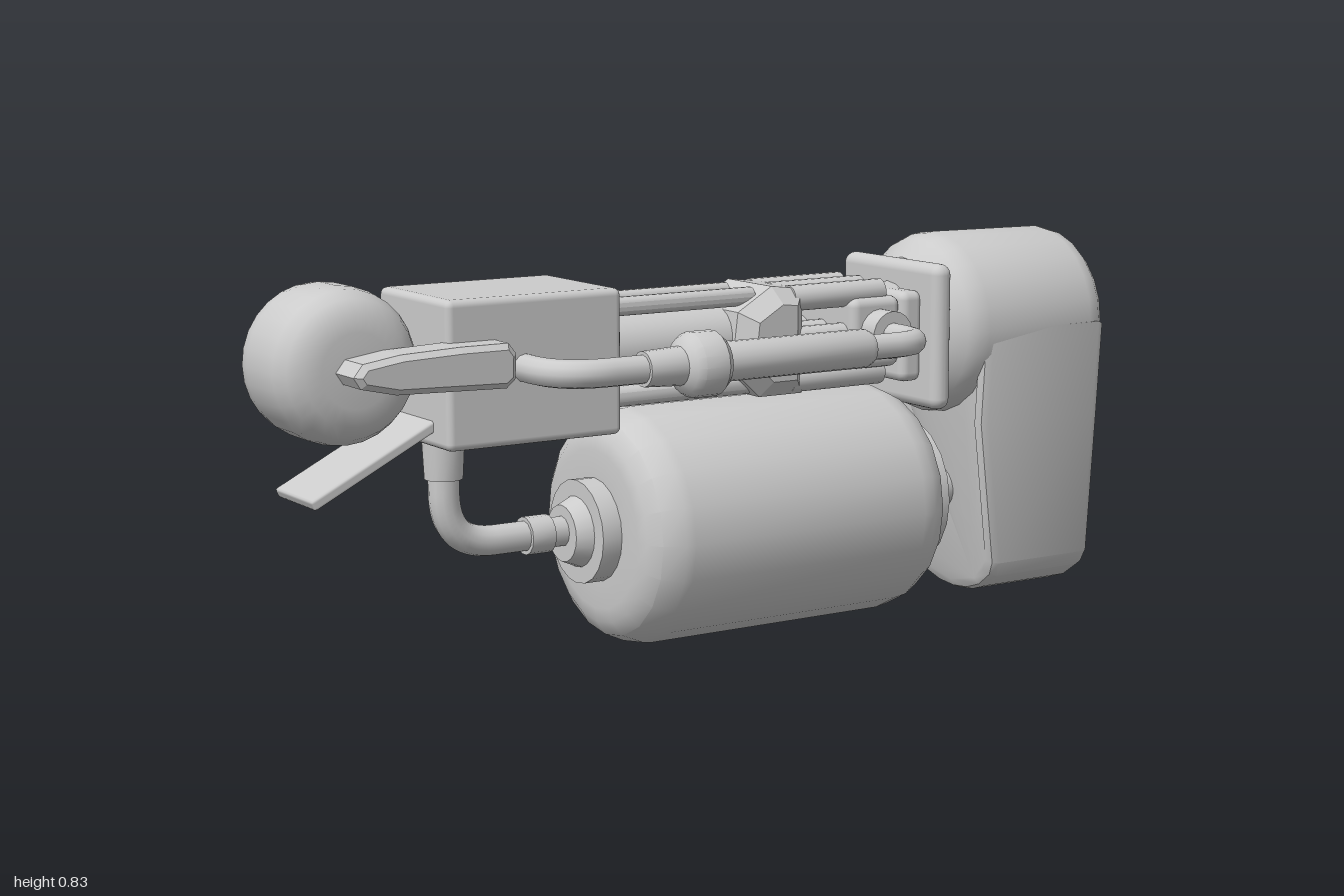
import * as THREE from 'three';
import { toCreasedNormals } from 'three/addons/utils/BufferGeometryUtils.js';
import { RoundedBoxGeometry } from 'three/addons/geometries/RoundedBoxGeometry.js';

const material = new THREE.MeshStandardMaterial({ color: 0xcccccc });

export function createModel() {
  const model = new THREE.Group();

  const add = (name, geometry, x = 0, y = 0, z = 0) => {
    const mesh = new THREE.Mesh(geometry, material);
    mesh.name = name;
    mesh.position.set(x, y, z);
    model.add(mesh);
    return mesh;
  };

  // Solid of revolution; profile is [position along axis, radius], axis is x or z
  const turned = (profile, axis = 'x', sides = 20, crease = 0.6) => {
    const g = new THREE.LatheGeometry(profile.map(([a, r]) => new THREE.Vector2(r, a)), sides);
    if (axis === 'x') g.rotateZ(-Math.PI / 2);
    if (axis === 'z') g.rotateX(Math.PI / 2);
    return toCreasedNormals(g, crease);
  };
  const rod = (from, to, r, axis = 'x', sides = 14) =>
    turned([[from, 0], [from, r], [to, r], [to, 0]], axis, sides);

  // Bevelled plate whose outline stays at full size, centred on its depth
  const plate = (points, depth, bevel, segments = 1) => {
    const shape = new THREE.Shape(points.map(([x, y]) => new THREE.Vector2(x, y)));
    const g = new THREE.ExtrudeGeometry(shape, {
      depth: depth - 2 * bevel, bevelThickness: bevel, bevelSize: bevel,
      bevelOffset: -bevel, bevelSegments: segments,
    });
    return g.translate(0, 0, bevel - depth / 2);
  };

  // Pipe through points with rounded corners
  const pipe = (points, r, bend) => {
    const p = points.map((q) => new THREE.Vector3(...q));
    const path = new THREE.CurvePath();
    let start = p[0];
    for (let i = 1; i < p.length - 1; i++) {
      const a = p[i].clone().add(p[i - 1].clone().sub(p[i]).setLength(bend));
      const b = p[i].clone().add(p[i + 1].clone().sub(p[i]).setLength(bend));
      path.add(new THREE.LineCurve3(start, a));
      path.add(new THREE.QuadraticBezierCurve3(a, p[i], b));
      start = b;
    }
    path.add(new THREE.LineCurve3(start, p[p.length - 1]));
    return new THREE.TubeGeometry(path, 48, r, 12);
  };

  // Lower tank with stepped ends
  add('tank', turned([
    [-0.32, 0], [-0.32, 0.06], [-0.285, 0.075], [-0.285, 0.11], [-0.24, 0.11], [-0.24, 0.17],
    [-0.235, 0.2], [-0.215, 0.23], [-0.17, 0.25], [-0.15, 0.253], [0.44, 0.253], [0.47, 0.248],
    [0.505, 0.23], [0.522, 0.2], [0.525, 0.17], [0.57, 0.17], [0.57, 0.11], [0.6, 0.105],
    [0.628, 0.085], [0.628, 0.05], [0.75, 0.05], [0.75, 0],
  ]), 0, 0.255);

  // Feed pipe from the tank up to the housing
  add('feedPipe', pipe([[-0.3, 0.26, 0], [-0.595, 0.26, 0], [-0.595, 0.5, 0]], 0.032, 0.11));
  add('feedPipeCollar', rod(-0.41, -0.355, 0.04), 0, 0.26);
  add('feedPipeSocket', toCreasedNormals(new THREE.CylinderGeometry(0.045, 0.04, 0.09, 14), 0.6), -0.595, 0.445);

  // Rear housing and release lever
  add('housing', new RoundedBoxGeometry(0.4, 0.3, 0.295, 2, 0.015), -0.46, 0.63);
  const lever = add('lever', new RoundedBoxGeometry(0.31, 0.022, 0.17, 1, 0.006), -0.785, 0.46);
  lever.rotation.z = Math.atan2(0.13, 0.26);

  // Roller and the fork arms holding it
  add('roller', turned([
    [-0.125, 0], [-0.125, 0.075], [-0.12, 0.11], [-0.1, 0.138], [-0.07, 0.153], [-0.04, 0.157],
    [0.04, 0.157], [0.07, 0.153], [0.1, 0.138], [0.12, 0.11], [0.125, 0.075], [0.125, 0],
  ], 'z', 28), -0.843, 0.655);
  const armOutline = [
    [-0.89, 0.655], [-0.875, 0.632], [-0.8, 0.615], [-0.56, 0.608], [-0.54, 0.625],
    [-0.538, 0.675], [-0.555, 0.697], [-0.66, 0.697], [-0.79, 0.692], [-0.87, 0.68],
  ];
  for (const s of [1, -1]) add('forkArm', plate(armOutline, 0.1, 0.012), 0, 0, s * 0.165);

  // Central cylinder and rods running forward
  add('centralCylinder', rod(-0.3, 0.12, 0.075, 'x', 20), 0, 0.63);
  for (const s of [1, -1]) {
    add('upperRod', rod(-0.3, 0.12, 0.02), 0, 0.728, s * 0.048);
    add('lowerRod', rod(-0.3, 0.12, 0.022), 0, 0.54, s * 0.045);
  }

  // Faceted middle block
  add('middleBlock', plate([
    [0.05, 0.58], [0.12, 0.515], [0.23, 0.515], [0.23, 0.74], [0.15, 0.75], [0.065, 0.7],
  ], 0.235, 0.035));

  // Bundle of bars between block and mount
  for (const y of [0.72, 0.63, 0.545]) {
    for (const z of [-0.075, 0, 0.075]) add('bar', rod(0.2, 0.44, 0.028), 0, y, z);
  }

  // Joint bracket and mounting plates
  add('bracket', new RoundedBoxGeometry(0.13, 0.155, 0.235, 2, 0.02), 0.405, 0.635);
  add('neck', rod(0.42, 0.6, 0.1, 'x', 20), 0, 0.63);
  add('innerMount', new RoundedBoxGeometry(0.06, 0.2, 0.24, 2, 0.02), 0.5, 0.62);
  add('outerMount', new RoundedBoxGeometry(0.05, 0.32, 0.35, 3, 0.024), 0.545, 0.62);

  // Mirrored side lines: elbow, fittings, damper tube and return elbow
  for (const s of [1, -1]) {
    const z = s * 0.288, y = 0.635;
    add('sidePipe', pipe([[-0.485, y, s * 0.12], [-0.485, y, z], [-0.2, y, z]], 0.029, 0.11));
    add('sideFitting', turned([
      [-0.3, 0], [-0.3, 0.036], [-0.215, 0.04], [-0.205, 0.058], [-0.19, 0.067],
      [-0.135, 0.067], [-0.12, 0.055], [-0.115, 0.041], [0.24, 0.041], [0.255, 0.034], [0.255, 0],
    ], 'x', 18), 0, y, z);
    add('sideReturn', pipe([[0.24, y, z], [0.412, y, z], [0.412, y, s * 0.1]], 0.027, 0.09));
    add('sideSocket', rod(-0.03, 0.03, 0.052, 'z', 18), 0.412, y, s * 0.135);
  }

  // Head drum with recessed face
  add('headDrum', turned([
    [0.56, 0], [0.56, 0.15], [0.575, 0.165], [0.6, 0.19], [0.625, 0.2], [0.65, 0.203], [0.94, 0.2],
    [0.97, 0.192], [0.99, 0.175], [1, 0.155], [1, 0.128], [0.985, 0.122], [0.95, 0.117], [0.95, 0],
  ], 'x', 24, 0.7), 0, 0.63);

  // Tapered leg hanging from the drum, narrowing towards its foot
  const half = [[0.201, 0.63], [0.187, 0.42], [0.163, 0.095], [0.145, 0.062], [0.1, 0.03], [0.05, 0.013]];
  const legOutline = [...half, [0, 0.008], ...half.slice().reverse().map(([x, y]) => [-x, y])];
  for (let i = 0; i <= 12; i++) {
    const a = Math.PI * (1 + i / 12);
    legOutline.push([0.145 * Math.cos(a), 0.63 + 0.145 * Math.sin(a)]);
  }
  const leg = plate(legOutline.reverse(), 0.345, 0.022, 2).rotateY(Math.PI / 2).translate(0.8125, 0, 0);
  const pos = leg.attributes.position;
  for (let i = 0; i < pos.count; i++) {
    if (pos.getX(i) < 0.8) pos.setX(i, pos.getX(i) + Math.max(0, 0.42 - pos.getY(i)) * 0.18);
  }
  add('leg', toCreasedNormals(leg, 0.5));

  // Octagonal hub and four pads in the recessed face
  const octagon = (w, h, c) => [
    [w, c - h], [w, h - c], [w - c, h], [c - w, h], [-w, h - c], [-w, c - h], [c - w, -h], [w - c, -h],
  ];
  add('hub', plate(octagon(0.047, 0.047, 0.026), 0.04, 0.012).rotateY(Math.PI / 2), 0.965, 0.63);
  for (let i = 0; i < 4; i++) {
    const pad = plate(octagon(0.064, 0.027, 0.022), 0.04, 0.008).translate(0, 0.083, 0);
    pad.rotateZ(i * Math.PI / 2).rotateY(Math.PI / 2);
    add('facePad', pad, 0.968, 0.63);
  }

  return model;
}
